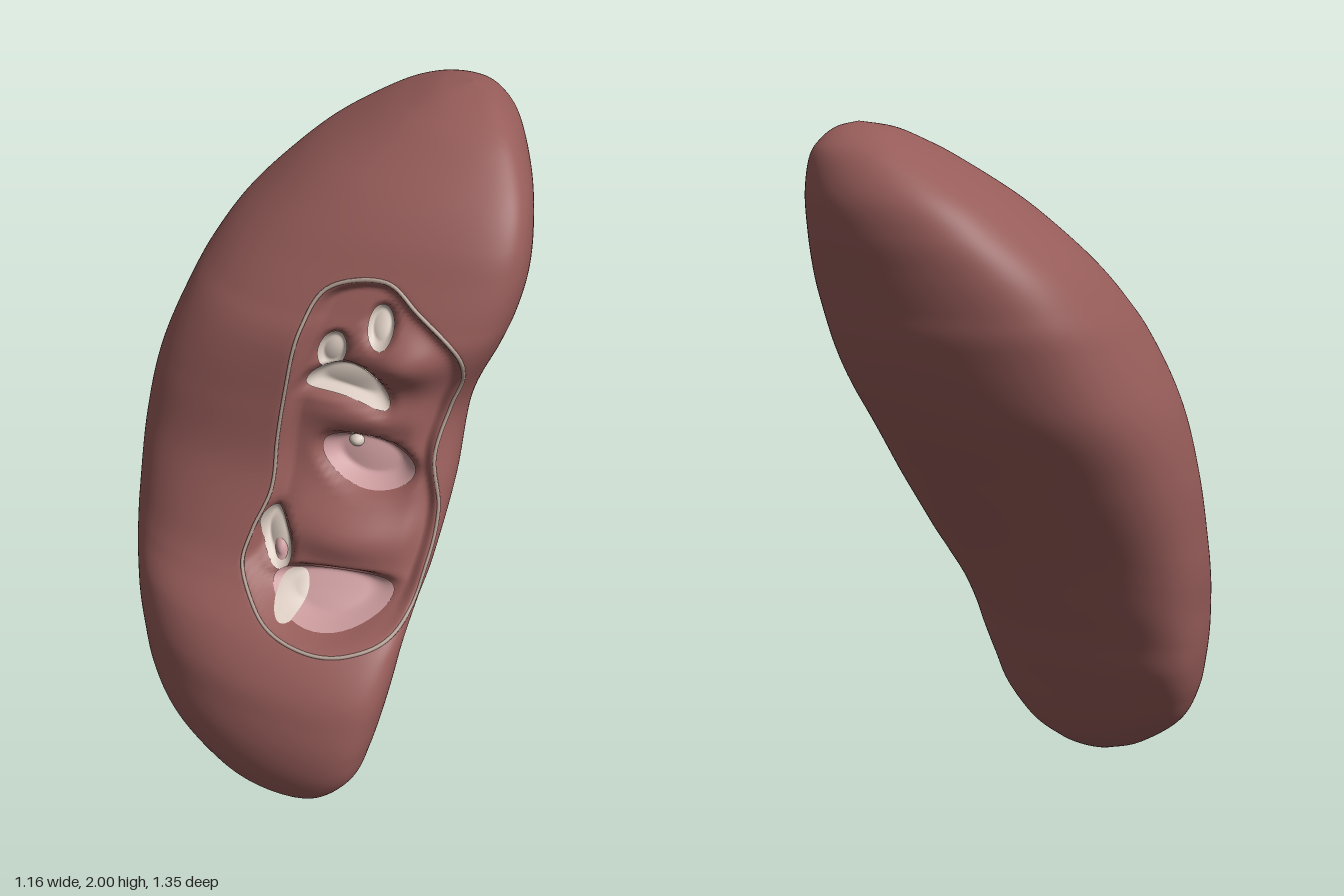
import * as THREE from 'three';

// horizontal sections: y, x min, x max, z front, z back
const ROWS = [
  [0, -0.06, -0.06, 0.42, 0.42], [0.015, -0.15, 0.03, 0.5, 0.33], [0.05, -0.23, 0.1, 0.56, 0.25], [0.1, -0.33, 0.18, 0.615, 0.17],
  [0.2, -0.46, 0.26, 0.66, 0.07], [0.3, -0.52, 0.295, 0.675, 0], [0.4, -0.55, 0.32, 0.665, -0.06], [0.5, -0.565, 0.34, 0.635, -0.1],
  [0.6, -0.572, 0.355, 0.56, -0.15], [0.7, -0.58, 0.375, 0.44, -0.2], [0.8, -0.58, 0.4, 0.365, -0.26], [1, -0.57, 0.43, 0.275, -0.4],
  [1.2, -0.535, 0.44, 0.248, -0.54], [1.4, -0.46, 0.52, 0.243, -0.625], [1.5, -0.41, 0.555, 0.21, -0.648],
  [1.6, -0.34, 0.575, 0.165, -0.665], [1.7, -0.24, 0.575, 0.115, -0.675], [1.8, -0.12, 0.555, 0.04, -0.663],
  [1.9, 0.04, 0.505, -0.07, -0.61], [1.95, 0.14, 0.455, -0.15, -0.55], [1.985, 0.23, 0.4, -0.24, -0.46], [2, 0.33, 0.33, -0.35, -0.35],
];
// skew of the left and right side of the sections, every quarter unit of height
const SKEWS = [[0.62, 0.6], [0.62, 0.6], [0.52, 0.62], [0.22, 0.69], [0.03, 0.6], [0.01, 0.36], [0.14, 0.52], [0.23, 0.68], [0.3, 0.6]];
const OPENING = [
  [0.05, 1.56], [0.22, 1.6], [0.31, 1.54], [0.43, 1.43], [0.445, 1.35], [0.41, 1.24], [0.38, 1.1], [0.405, 0.95], [0.39, 0.8],
  [0.345, 0.66], [0.23, 0.61], [0.1, 0.6], [-0.05, 0.64], [-0.14, 0.74], [-0.125, 0.83], [-0.08, 0.95], [-0.07, 1.1],
  [-0.045, 1.28], [-0.01, 1.45],
];
const PINK = 0xcb9b9d, CREAM = 0xd9cabf, FLESH = 0x965c59;
// pockets: x, y, half width, half height, turn, bend, colour
const POCKETS = [
  [0.13, 0.69, 0.18, 0.065, 0.05, 0.6, PINK], [-0.055, 0.81, 0.045, 0.09, 0.3, 0, CREAM],
  [0.185, 1.045, 0.14, 0.075, -0.2, 0.5, PINK], [0.13, 1.3, 0.125, 0.055, -0.2, -3, CREAM],
  [0.075, 1.385, 0.04, 0.06, -0.4, 0, CREAM], [0.21, 1.47, 0.038, 0.058, 0, 0, CREAM],
];
// swellings between the pockets: x, y, width, height, rise
const SWELLS = [[0.28, 1.375, 0.1, 0.07, 0.05], [0.15, 0.86, 0.2, 0.08, 0.06], [0.18, 1.19, 0.14, 0.05, 0.03], [0.34, 1.1, 0.05, 0.15, 0.02]];

const smooth = THREE.MathUtils.smoothstep;
const full = v => v * (1.15 - 0.15 * v * v);

// smooth interpolation of a table at fractional row t
function spline(table, t) {
  const n = table.length - 1, i = Math.min(Math.floor(t), n - 1), f = t - i;
  const at = k => table[Math.min(Math.max(k, 0), n)];
  return table[0].map((_, k) => {
    const [a, b, c, d] = [at(i - 1)[k], at(i)[k], at(i + 1)[k], at(i + 2)[k]];
    return b + 0.5 * f * (c - a + f * (2 * a - 5 * b + 4 * c - d + f * (3 * (b - c) + d - a)));
  });
}

function section(t) {
  const row = spline(ROWS, t);
  return [...row, ...spline(SKEWS, THREE.MathUtils.clamp(row[0] * 4, 0, 8))];
}

// point on a section, skewed more to one side than the other
function skinPoint([y, x0, x1, zf, zb, left, right], angle) {
  const skew = left + (right - left) * ((1 + Math.cos(angle)) / 2) ** 2;
  return [
    (x0 + x1) / 2 + (x1 - x0) / 2 * full(Math.cos(angle)), y,
    (zf + zb) / 2 + (zf - zb) / 2 * full(Math.sin(angle + skew)),
  ];
}

// value between lo and hi where the test turns from true to false
function bisect(lo, hi, test) {
  for (let k = 0; k < 24; k++) {
    const mid = (lo + hi) / 2;
    if (test(mid)) lo = mid; else hi = mid;
  }
  return lo;
}

function frontZ(x, y) {
  const row = section(bisect(0, ROWS.length - 1, t => spline(ROWS, t)[0] < y));
  return skinPoint(row, bisect(0, Math.PI, a => skinPoint(row, a)[0] > x))[2];
}

const outline = new THREE.CatmullRomCurve3(OPENING.map(([x, y]) => new THREE.Vector3(x, y, 0)), true).getPoints(90);

// distance inside the opening, 0 outside
function insideDistance(x, y) {
  if (x < -0.16 || x > 0.47 || y < 0.58 || y > 1.62) return 0;
  let inside = false, best = 9;
  for (let i = 0; i < outline.length - 1; i++) {
    const a = outline[i], b = outline[i + 1], dx = b.x - a.x, dy = b.y - a.y;
    if ((a.y > y) !== (b.y > y) && x < a.x + dx * (y - a.y) / dy) inside = !inside;
    const s = THREE.MathUtils.clamp(((x - a.x) * dx + (y - a.y) * dy) / (dx * dx + dy * dy || 1), 0, 1);
    best = Math.min(best, Math.hypot(x - a.x - s * dx, y - a.y - s * dy));
  }
  return inside ? best : 0;
}

function pocketRadius([px, py, w, h, turn, bend], x, y) {
  const c = Math.cos(turn), s = Math.sin(turn);
  const u = (x - px) * c + (y - py) * s, v = (y - py) * c - (x - px) * s - bend * u * u;
  return Math.hypot(u / w, v / h);
}

// how far the hollow lies behind the outer skin
function recess(x, y) {
  const d = insideDistance(x, y);
  if (d === 0) return 0;
  let depth = 0.045 * smooth(d, 0, 0.04);
  for (const [sx, sy, w, h, rise] of SWELLS)
    depth -= smooth(d, 0, 0.09) * rise * Math.exp(-(((x - sx) / w) ** 2) - ((y - sy) / h) ** 2);
  let pit = 0;
  for (const p of POCKETS) pit = Math.max(pit, Math.min(p[2], p[3]) * (1 - smooth(pocketRadius(p, x, y), 0.6, 1.25)));
  return depth + pit * smooth(d, 0, 0.02);
}

function gridGeometry(rows, cols, point) {
  const pos = [], index = [];
  for (let i = 0; i <= rows; i++) for (let j = 0; j < cols; j++) pos.push(...point(i / rows, j / cols * Math.PI * 2));
  for (let i = 0; i < rows; i++) for (let j = 0; j < cols; j++) {
    const a = i * cols + j, b = i * cols + (j + 1) % cols;
    index.push(a, a + cols, b, b, a + cols, b + cols);
  }
  const g = new THREE.BufferGeometry();
  g.setAttribute('position', new THREE.Float32BufferAttribute(pos, 3));
  g.setIndex(index);
  g.computeVertexNormals();
  return g;
}

function addMesh(group, name, geometry, color) {
  const mesh = new THREE.Mesh(geometry, new THREE.MeshStandardMaterial({ color, side: THREE.DoubleSide }));
  mesh.name = name;
  group.add(mesh);
}

export function createModel() {
  const group = new THREE.Group();
  group.name = 'kidney';

  // bean-shaped body with the hollow pressed into its front
  addMesh(group, 'body', gridGeometry(250, 220, (t, angle) => {
    const [x, y, z] = skinPoint(section(t * (ROWS.length - 1)), angle);
    return [x, y, z - (angle < Math.PI ? recess(x, y) : 0)];
  }), FLESH);

  // pale edge around the opening
  const edge = outline.slice(0, -1).map(p => new THREE.Vector3(p.x, p.y, frontZ(p.x, p.y)));
  addMesh(group, 'openingRim', new THREE.TubeGeometry(new THREE.CatmullRomCurve3(edge, true), 180, 0.006, 6, true), 0xb5a095);

  // domed linings following the pocket floors
  const lining = (name, [px, py, w, h, turn, bend, color], dome) =>
    addMesh(group, name, gridGeometry(14, 40, (s, angle) => {
      const r = 1 - s, u = r * w * Math.cos(angle), v = r * h * Math.sin(angle) + bend * u * u;
      const x = px + u * Math.cos(turn) - v * Math.sin(turn), y = py + u * Math.sin(turn) + v * Math.cos(turn);
      return [x, y, frontZ(x, y) - recess(x, y) + 0.008 + dome * (1 - r * r)];
    }), color);
  POCKETS.forEach((p, i) => lining('pocketLining' + (i + 1), p, 0.015));

  // small pale and pink nodules inside the pockets
  lining('lowerNodule', [0.02, 0.685, 0.055, 0.05, 0, 0, CREAM], 0.022);
  lining('sideNodule', [-0.045, 0.775, 0.025, 0.04, 0.3, 0, PINK], 0.025);
  lining('middleNodule', [0.14, 1.08, 0.03, 0.025, 0, 0, CREAM], 0.025);
  return group;
}
